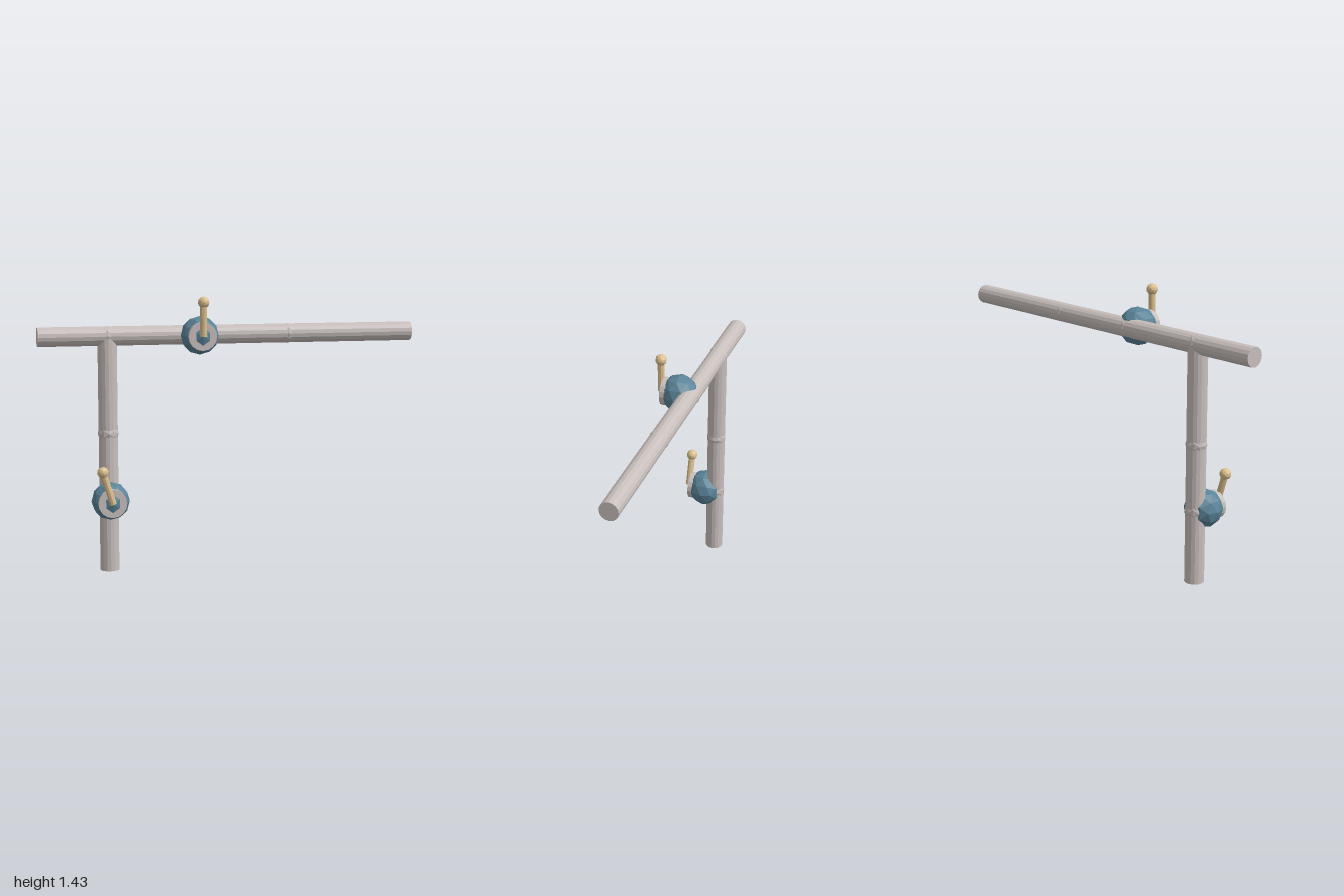
import * as THREE from 'three';

const mat = (name, color) => {
  const m = new THREE.MeshStandardMaterial({ color, flatShading: true });
  m.name = name;
  return m;
};

export function createModel() {
  const pipeGrey = mat('pipeGrey', 0xc8bfbc);
  const valveBlue = mat('valveBlue', 0x5a8499);
  const handleTan = mat('handleTan', 0xdcc08e);

  const model = new THREE.Group();
  model.name = 'pipework';
  const pipeZ = -0.067, pipeY = 1.23, riserX = -0.64;

  const add = (parent, name, geometry, material, x, y, z) => {
    const mesh = new THREE.Mesh(geometry, material);
    mesh.name = name;
    mesh.position.set(x, y, z);
    parent.add(mesh);
    return mesh;
  };

  // Main pipes
  const mainPipe = new THREE.CylinderGeometry(0.05, 0.05, 2, 16).rotateZ(Math.PI / 2);
  add(model, 'horizontalPipe', mainPipe, pipeGrey, 0, pipeY, pipeZ);
  add(model, 'verticalPipe', new THREE.CylinderGeometry(0.05, 0.05, pipeY, 16), pipeGrey, riserX, pipeY / 2, pipeZ);

  // Faceted joints that just break through the pipe surface
  const joint = (x, y, r) =>
    add(model, 'pipeJoint', new THREE.IcosahedronGeometry(r, 1), pipeGrey, x, y, pipeZ);
  for (const x of [riserX, -0.16, 0.32]) joint(x, pipeY, 0.053);
  for (const y of [0.38, 0.725]) joint(riserX, y, 0.055);

  // Valve: faceted body, front collar and a lever turned about the front axis
  function addValve(name, x, y, turn) {
    const valve = new THREE.Group();
    valve.name = name;
    valve.position.set(x, y, 0);
    add(valve, 'valveBody', new THREE.IcosahedronGeometry(0.1, 1), valveBlue, 0, 0, -0.008);
    const collar = new THREE.CylinderGeometry(0.074, 0.074, 0.028, 16).rotateX(Math.PI / 2);
    add(valve, 'valveCollar', collar, pipeGrey, 0, 0, 0.0645);

    const lever = new THREE.Group();
    lever.name = 'lever';
    lever.position.z = 0.092;
    lever.rotation.z = turn;
    add(lever, 'leverRod', new THREE.CylinderGeometry(0.018, 0.018, 0.17, 10), handleTan, 0, 0.085, 0);
    add(lever, 'leverKnob', new THREE.IcosahedronGeometry(0.03, 1), handleTan, 0, 0.175, 0);
    valve.add(lever);
    model.add(valve);
  }
  addValve('upperValve', -0.165, pipeY, 0);
  addValve('lowerValve', riserX, 0.378, 0.3);

  return model;
}
